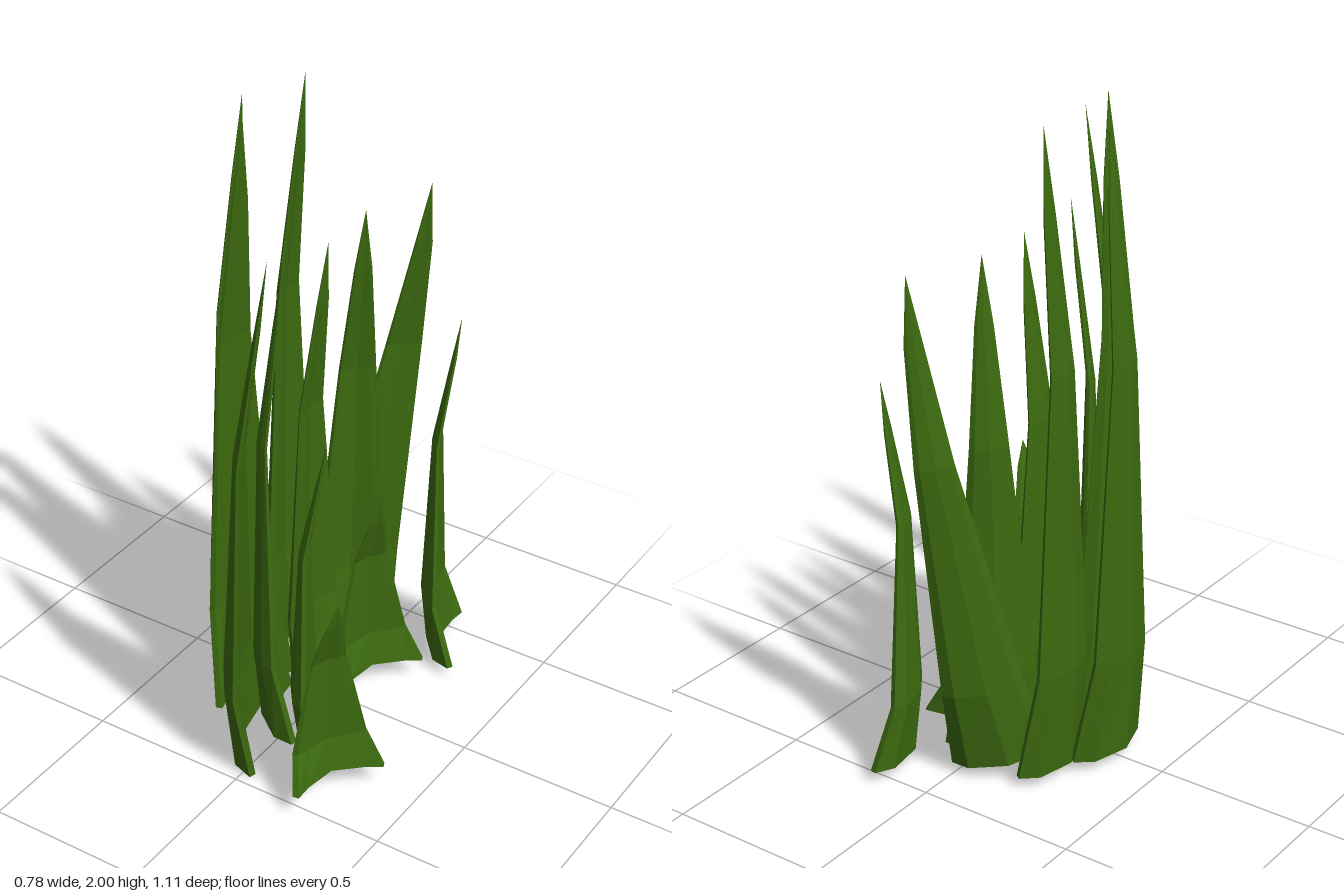
import * as THREE from 'three';

const material = new THREE.MeshStandardMaterial({ color: 0x3c6a0f, flatShading: true });

// Crescent cross-section: [across, depth factor, thickness factor]
const SECTION = [
  [-1, 1, 0], [-0.75, 0.4, 0], [0, 0, 0], [0.75, 0.4, 0], [1, 1, 0],
  [0.92, 1, 0.4], [0.62, 0.4, 1], [0, 0, 1], [-0.62, 0.4, 1], [-0.92, 1, 0.4],
];

// Rings up the blade: height fraction, width, crescent depth, thickness, bow
const RINGS = [
  { t: 0, w: 1, d: 0.085, th: 0.04, bow: -0.085, lean: 0 },
  { t: 0.17, w: 0.8, d: 0.05, th: 0.035, bow: -0.105, lean: 0.26 },
  { t: 0.64, w: 0.38, d: 0.02, th: 0.018, bow: -0.08, lean: 0.77 },
  { t: 0.87, w: 0.18, d: 0.01, th: 0.012, bow: -0.03, lean: 0.94 },
  { t: 1, w: 0, d: 0, th: 0, bow: 0, lean: 1 },
];

// A blade from the two ends of its foot (x, z), its tip (x, y, z) and foot height
function blade([x0, z0], [x1, z1], [tx, ty, tz], foot) {
  const half = Math.hypot(x1 - x0, z1 - z0) / 2;
  const ux = (x1 - x0) / (2 * half), uz = (z1 - z0) / (2 * half);
  const vx = uz, vz = -ux;
  const cx = (x0 + x1) / 2, cz = (z0 + z1) / 2;
  const leanU = (tx - cx) * ux + (tz - cz) * uz;
  const leanV = (tx - cx) * vx + (tz - cz) * vz;

  const rings = RINGS.map((r) => SECTION.map(([a, b, c]) => {
    const across = a * half * r.w;
    const u = across + leanU * r.lean;
    const v = b * r.d + c * r.th + r.bow + leanV * r.t;
    const y = foot + (ty - foot) * r.t - across * leanU * 0.4;
    return [cx + ux * u + vx * v, y, cz + uz * u + vz * v];
  }));

  const pos = [];
  const tri = (...corners) => corners.forEach((p) => pos.push(...p));
  const n = SECTION.length;
  // Sides, closing to a point at the tip
  for (let k = 0; k < rings.length - 1; k++) {
    for (let i = 0; i < n; i++) {
      const j = (i + 1) % n, lo = rings[k], hi = rings[k + 1];
      tri(lo[i], lo[j], hi[j]);
      if (k < rings.length - 2) tri(lo[i], hi[j], hi[i]);
    }
  }
  // Underside
  const b = rings[0];
  for (let i = 0; i < 4; i++) {
    tri(b[i], b[9 - i], b[8 - i]);
    tri(b[i], b[8 - i], b[i + 1]);
  }
  const geometry = new THREE.BufferGeometry();
  geometry.setAttribute('position', new THREE.Float32BufferAttribute(pos, 3));
  geometry.computeVertexNormals();
  return new THREE.Mesh(geometry, material);
}

// Back end of foot, front end of foot, tip, foot height
const BLADES = [
  // Tall outer row
  [[-0.29, -0.16], [-0.285, 0.155], [-0.28, 1.98, 0], 0.04],
  [[-0.21, -0.325], [-0.19, -0.015], [-0.195, 2, -0.19], 0.04],
  [[-0.125, -0.005], [-0.22, 0.29], [-0.16, 2, 0.17], 0.04],
  // Leaning side blades
  [[0.01, -0.36], [-0.19, -0.13], [0.06, 1.6, -0.47], 0.05],
  [[-0.13, 0.14], [0.03, 0.47], [0.155, 1.82, 0.52], 0.025],
  // Middle row
  [[0.08, -0.3], [-0.13, -0.08], [-0.01, 1.6, -0.22], 0.05],
  [[0, -0.16], [0, 0.15], [0.005, 1.6, 0], 0.05],
  [[-0.1, 0.075], [0.08, 0.32], [0.005, 1.64, 0.23], 0.05],
  // Short front row
  [[0.15, -0.55], [0.28, -0.265], [0.215, 1.23, -0.4], 0.04],
  [[0.21, -0.23], [0.07, 0.05], [0.14, 0.72, -0.08], 0.08],
  [[0.07, 0.08], [0.2, 0.36], [0.14, 1.09, 0.215], 0.05],
  [[0.38, 0.27], [0.235, 0.545], [0.31, 0.72, 0.415], 0.08],
];

export function createModel() {
  const group = new THREE.Group();
  group.name = 'grassClump';
  BLADES.forEach((spec, i) => {
    const mesh = blade(...spec);
    mesh.name = `grassBlade${i + 1}`;
    group.add(mesh);
  });
  return group;
}
